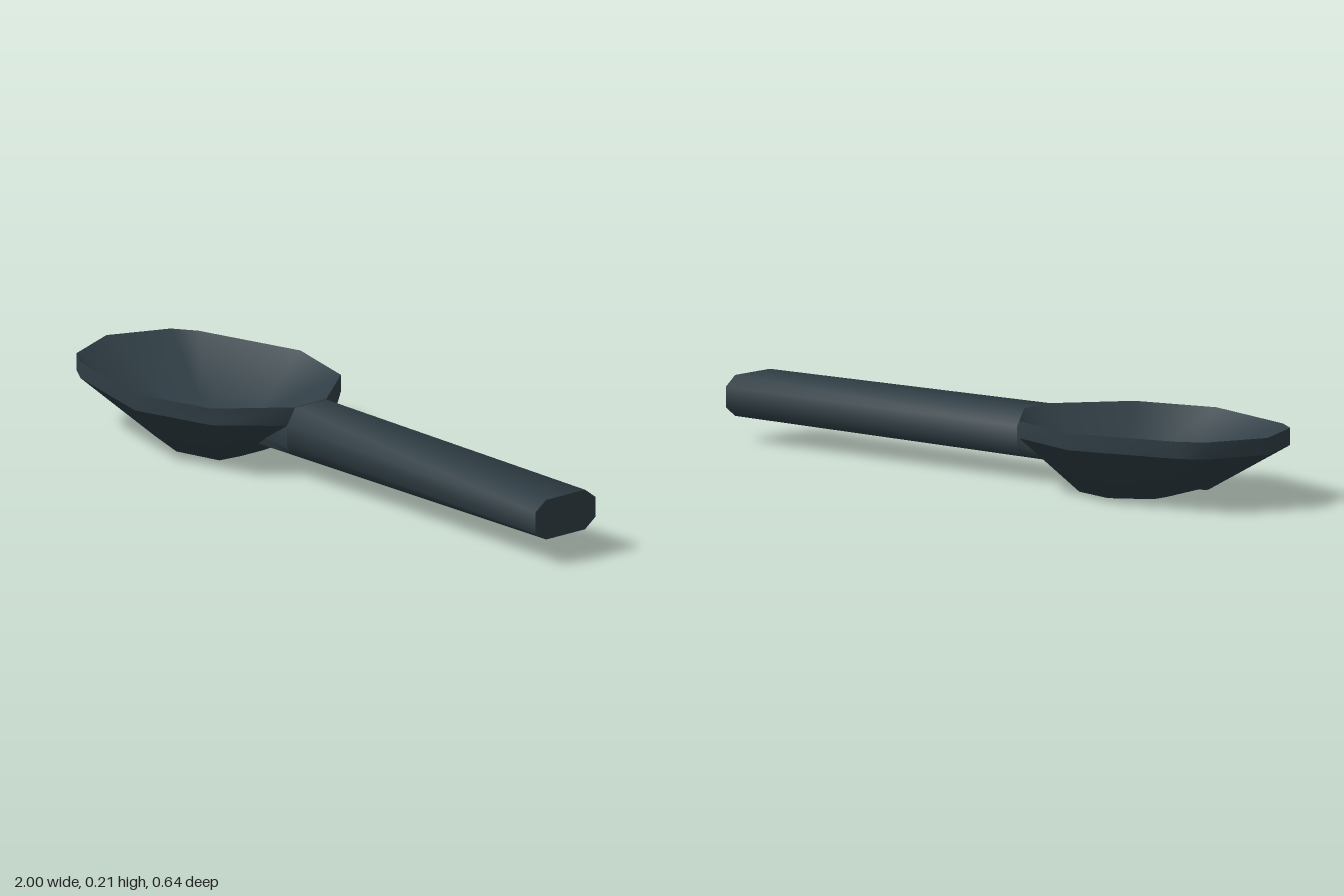
import * as THREE from 'three';
import { toCreasedNormals } from 'three/addons/utils/BufferGeometryUtils.js';

// Skin a stack of equal-length rings; caps close the first or last ring.
function loft(rings, capStart, capEnd) {
  const n = rings[0].length;
  const index = [];
  for (let r = 0; r < rings.length - 1; r++) {
    for (let i = 0; i < n; i++) {
      const j = (i + 1) % n;
      const a = r * n + i, b = r * n + j, c = a + n, d = b + n;
      index.push(a, b, d, a, d, c);
    }
  }
  const last = (rings.length - 1) * n;
  for (let i = 1; i < n - 1; i++) {
    if (capStart) index.push(0, i + 1, i);
    if (capEnd) index.push(last, last + i, last + i + 1);
  }
  const geometry = new THREE.BufferGeometry();
  geometry.setAttribute('position', new THREE.Float32BufferAttribute(rings.flat(2), 3));
  geometry.setIndex(index);
  return toCreasedNormals(geometry, 1.1);
}

// Mirror half an outline (tip first) across z = 0.
function mirrorRing(half) {
  const back = half.slice(1).reverse().map(([x, y, z]) => [x, y, -z]);
  return [...half, ...back];
}

// Chamfered handle section at x.
function handleSection(x, halfWidth, topHalf, shoulder, top) {
  const b = 0.075;
  return [
    [-halfWidth, 0.1], [-halfWidth, shoulder], [-topHalf, top], [topHalf, top],
    [halfWidth, shoulder], [halfWidth, 0.1], [b, 0.07], [-b, 0.07],
  ].map(([z, y]) => [x, y, z]);
}

export function createModel() {
  const group = new THREE.Group();
  group.name = 'spoon';
  const slate = new THREE.MeshStandardMaterial({ color: 0x2f3d44 });
  slate.name = 'slate';

  const add = (name, geometry) => {
    const mesh = new THREE.Mesh(geometry, slate);
    mesh.name = name;
    group.add(mesh);
  };

  // Bowl outline from the tip to the neck, which narrows towards the top
  const outline = [[-1, 0], [-0.925, 0.182], [-0.855, 0.228], [-0.515, 0.32], [-0.26, 0.25]];
  const rimAt = (y, neck) => mirrorRing([...outline, [-0.11, neck]].map(([x, z]) => [x, y, z]));
  const lowerRim = rimAt(0.16, 0.092);
  const upperRim = rimAt(0.21, 0.06);
  const base = mirrorRing([
    [-0.73, 0.03, 0], [-0.69, 0.015, 0.09], [-0.66, 0.008, 0.115],
    [-0.52, 0.001, 0.155], [-0.375, 0, 0.118], [-0.365, 0, 0.045],
  ]);
  // Hollow follows the underside at the thickness of the rim
  const floor = base.map(([x, y, z]) => [x, y + 0.05, z]);

  add('bowlRim', loft([lowerRim, upperRim], false, false));
  add('bowlHollow', loft([upperRim, floor], false, true));
  add('bowlUnderside', loft([base, lowerRim], true, false));

  // Handle, and its root tucked inside the wall of the bowl
  const neck = handleSection(-0.11, 0.092, 0.06, 0.16, 0.209);
  add('handle', loft([neck, handleSection(1, 0.116, 0.075, 0.16, 0.19)], false, true));
  add('handleRoot', loft([handleSection(-0.26, 0.085, 0.05, 0.11, 0.113), neck], true, false));

  return group;
}
